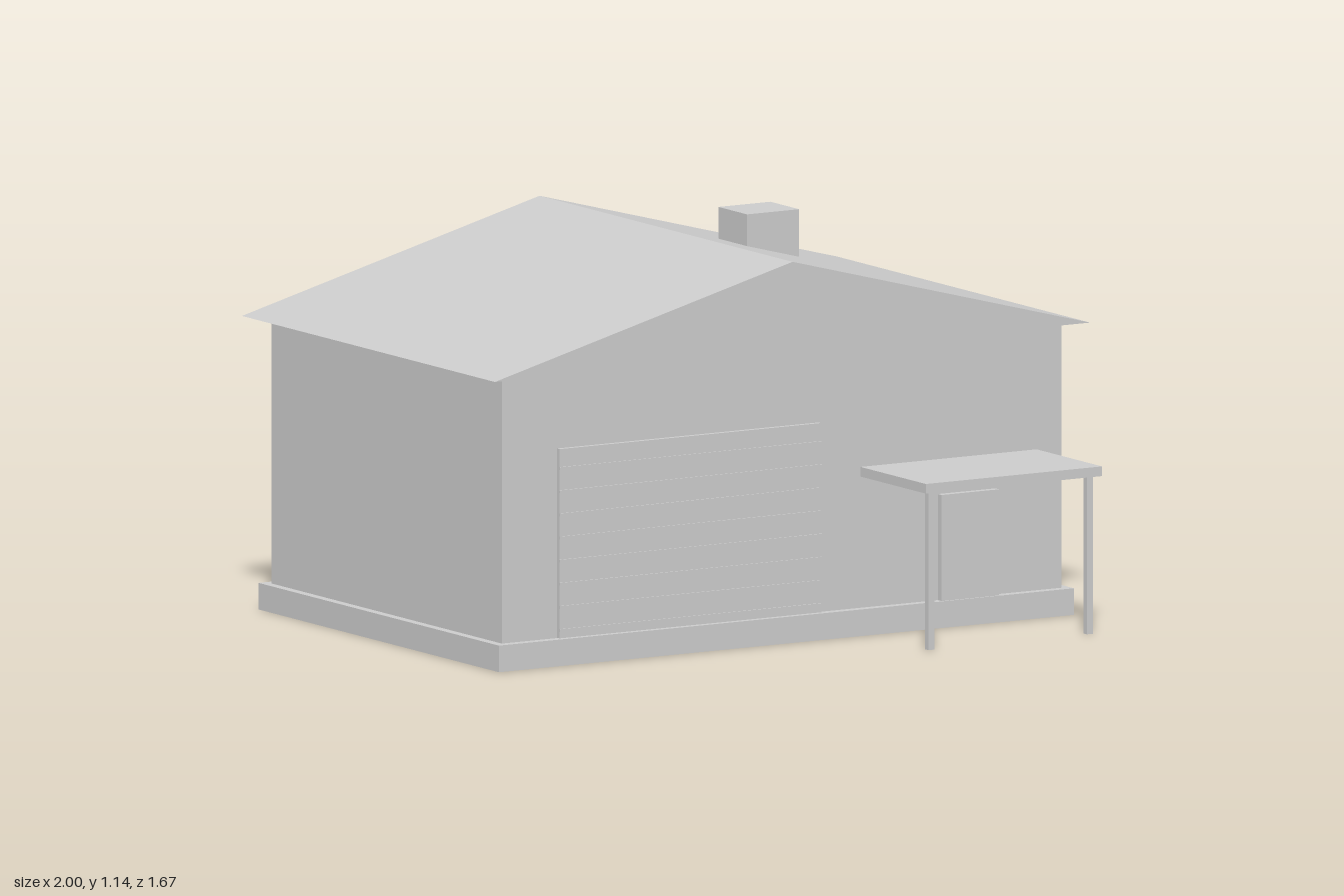
import * as THREE from 'three';

const material = new THREE.MeshStandardMaterial({ color: 0xcccccc, flatShading: true });

// Box given by its minimum and maximum along each axis
function box(name, [x0, x1], [y0, y1], [z0, z1]) {
  const mesh = new THREE.Mesh(new THREE.BoxGeometry(x1 - x0, y1 - y0, z1 - z0), material);
  mesh.position.set((x0 + x1) / 2, (y0 + y1) / 2, (z0 + z1) / 2);
  mesh.name = name;
  return mesh;
}

function group(name, ...parts) {
  const g = new THREE.Group();
  g.name = name;
  g.add(...parts);
  return g;
}

// Gable roof: a solid triangular prism along z
function createRoof() {
  const gable = new THREE.Shape([
    new THREE.Vector2(-1, 0.848),
    new THREE.Vector2(1, 0.848),
    new THREE.Vector2(0, 1.11),
  ]);
  const geometry = new THREE.ExtrudeGeometry(gable, { depth: 1.375, bevelEnabled: false });
  geometry.translate(0, 0, -0.835);
  const roof = new THREE.Mesh(geometry, material);
  roof.name = 'roof';
  return roof;
}

// Garage door with thin horizontal ribs
function createGarageDoor() {
  const door = group('garageDoor', box('garageDoorPanel', [-0.755, 0.125], [0.078, 0.626], [0.47, 0.494]));
  for (let i = 0; i < 8; i++) {
    const y = 0.101 + i * 0.067;
    door.add(box('garageDoorRib', [-0.755, 0.125], [y - 0.004, y + 0.004], [0.48, 0.498]));
  }
  return door;
}

// Flat porch canopy on two slim posts
function createPorch() {
  const porch = group('porch', box('canopy', [0.265, 0.857], [0.457, 0.485], [0.47, 0.836]));
  for (const x of [0.294, 0.826]) {
    porch.add(box('porchPost', [x - 0.01, x + 0.01], [0, 0.46], [0.8, 0.82]));
  }
  return porch;
}

// Back window: frame with a slightly raised pane
function createWindow(x) {
  return group('backWindow',
    box('windowFrame', [x - 0.17, x + 0.17], [0.365, 0.61], [-0.793, -0.76]),
    box('windowPane', [x - 0.155, x + 0.155], [0.381, 0.594], [-0.8, -0.77]));
}

export function createModel() {
  return group('house',
    box('foundation', [-0.966, 0.966], [0, 0.077], [-0.8, 0.507]),
    box('walls', [-0.94, 0.94], [0.07, 0.85], [-0.771, 0.48]),
    createRoof(),
    box('chimney', [0.225, 0.4], [0.96, 1.143], [-0.227, -0.071]),
    createGarageDoor(),
    box('frontDoor', [0.525, 0.718], [0.075, 0.384], [0.47, 0.501]),
    createPorch(),
    ...[-0.746, 0, 0.746].map(createWindow));
}
